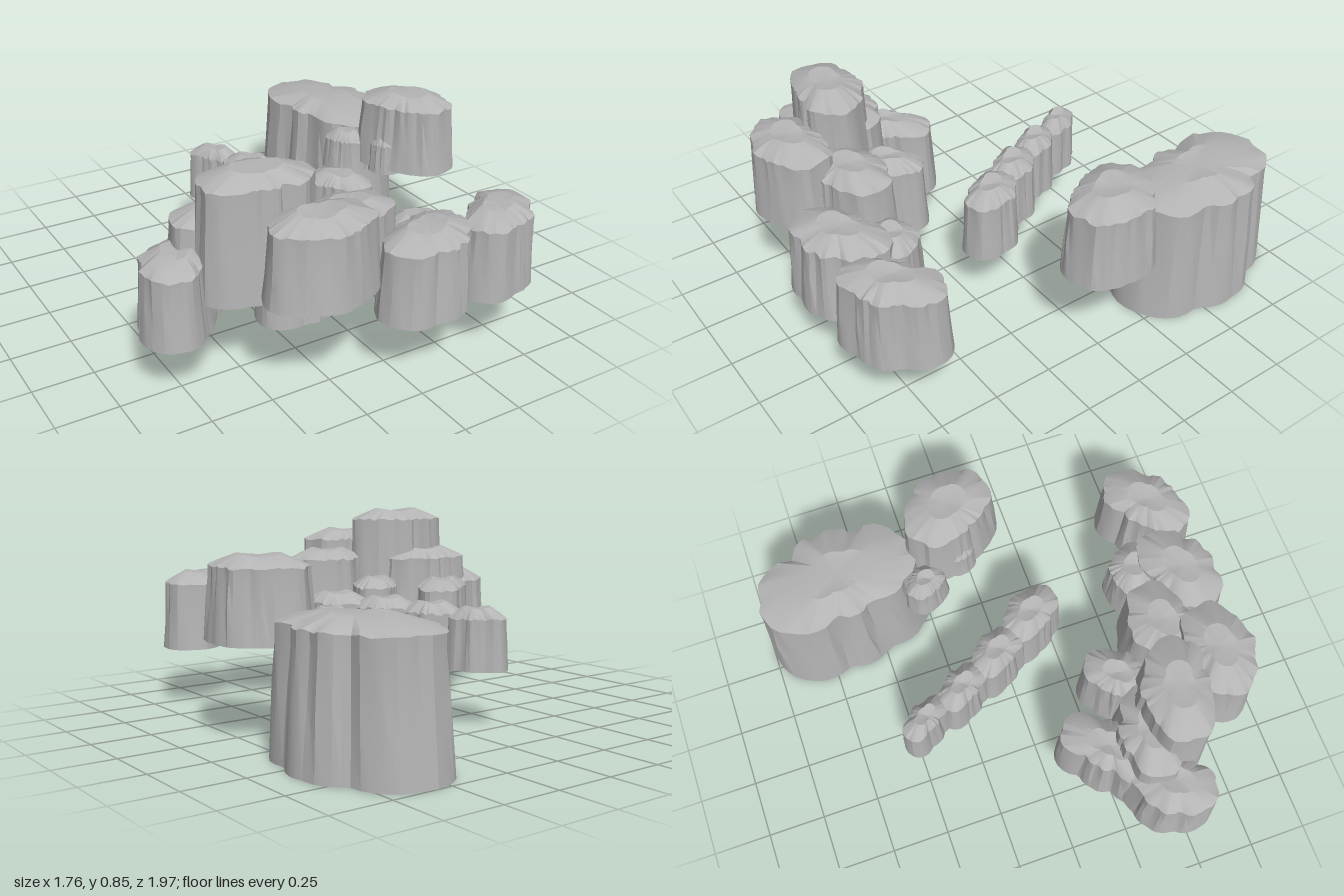
import * as THREE from 'three';
import { toCreasedNormals } from 'three/addons/utils/BufferGeometryUtils.js';

const stone = new THREE.MeshStandardMaterial({ color: 0xb4b4b4, side: THREE.DoubleSide });
stone.name = 'grey stone';

function seeded(seed) {
  let s = seed;
  return () => (s = (s * 16807) % 2147483647) / 2147483647;
}

// Distance from (cx, cz) along angle a to the outside of a cluster of circles.
function reach(lobes, cx, cz, a) {
  let best = 0.02;
  for (const [x, z, r] of lobes) {
    const dx = x - cx, dz = z - cz;
    const b = dx * Math.cos(a) + dz * Math.sin(a);
    const disc = b * b - (dx * dx + dz * dz - r * r);
    if (disc > 0) best = Math.max(best, b + Math.sqrt(disc));
  }
  return best;
}

// Open-bottomed pillar from (xa, za) to (xb, zb): lobed outline,
// creased flaring wall from y0, low lumpy cap up to y1.
function addRock(group, name, xa, za, xb, zb, radius, y0, y1) {
  const rand = seeded(917 + (group.children.length + 1) * 7331 + Math.round(radius * 1e5));
  const n = 52;
  const cx = (xa + xb) / 2, cz = (za + zb) / 2;
  const across = new THREE.Vector2(zb - za, xa - xb).setLength(radius * 0.12);
  const lobes = [
    [xa, za, radius],
    [cx + across.x, cz + across.y, radius * 1.15],
    [xb, zb, radius * 0.95],
  ];
  const flare = radius * 0.18;
  const rim = y1 - 0.05, wall = rim - y0, phase = rand() * 3;

  const columns = Array.from({ length: n }, (_, i) => {
    const a = (i / n) * Math.PI * 2;
    const scallop = Math.abs(Math.sin(a * 4.5 + phase)) - 0.62;
    return {
      a,
      base: reach(lobes, cx, cz, a),
      notch: radius * (0.12 * scallop + 0.06 * (rand() - 0.5)),
      lean: rand(),
      lift: (rand() - 0.5) * 0.012,
    };
  });

  // Rings from the foot up to the centre of the cap
  const rings = [
    c => [c.base + flare + c.notch * 0.4, y0],
    c => [c.base + flare * 0.45 + c.notch * (0.4 + 0.8 * c.lean), y0 + wall * (0.3 + 0.3 * c.lean)],
    c => [c.base + c.notch, y0 + wall * 0.88],
    c => [c.base + c.notch, rim + c.lift],
    c => [(c.base + c.notch * 0.6) * 0.8, y1 - 0.03 + c.lift * 0.5],
    c => [c.base * 0.45, y1 - 0.006 + 0.006 * Math.sin(c.a * 2 + phase)],
    () => [0, y1 - 0.014],
  ];
  const pos = [], idx = [];
  rings.forEach((ring, j) => columns.forEach((c, i) => {
    const [r, y] = ring(c);
    pos.push(cx + Math.cos(c.a) * r, y, cz + Math.sin(c.a) * r);
    if (j === rings.length - 1) return;
    const k = (i + 1) % n, p = j * n, q = p + n;
    idx.push(p + i, q + k, p + k);
    if (j < rings.length - 2) idx.push(p + i, q + i, q + k);
  }));
  const geo = new THREE.BufferGeometry();
  geo.setAttribute('position', new THREE.Float32BufferAttribute(pos, 3));
  geo.setIndex(idx);
  const mesh = new THREE.Mesh(toCreasedNormals(geo, 0.35), stone);
  mesh.name = name;
  group.add(mesh);
}

function cluster(name) {
  const group = new THREE.Group();
  group.name = name;
  return group;
}

function rightStack() {
  const g = cluster('rightStack');
  addRock(g, 'largeRock', 0.58, -0.78, 0.63, -0.44, 0.185, 0, 0.56);
  addRock(g, 'tallRock', 0.65, -0.14, 0.72, 0.0, 0.132, 0.39, 0.73);
  addRock(g, 'smallRock', 0.46, -0.28, 0.49, -0.22, 0.062, 0.34, 0.53);
  addRock(g, 'sideKnob', 0.56, -0.08, 0.57, -0.05, 0.05, 0.37, 0.55);
  return g;
}

// Slightly curved diagonal row of slim rocks
function slimRow() {
  const g = cluster('slimRow');
  for (let i = 0; i < 4; i++) {
    const x = -0.105 + 0.07 * i + 0.009 * i * i, z = -0.44 + 0.19 * i;
    addRock(g, 'slimRock', x - 0.035, z - 0.055, x + 0.035, z + 0.055,
      0.055 + 0.009 * i, 0.24, 0.5 + 0.01 * i);
  }
  return g;
}

function leftCluster() {
  const g = cluster('leftCluster');
  addRock(g, 'farLeftRock', -0.76, 0.48, -0.66, 0.37, 0.11, 0.22, 0.55);
  addRock(g, 'backRock', -0.40, 0.15, -0.58, 0.31, 0.095, 0.19, 0.54);
  addRock(g, 'middleRock', -0.61, 0.38, -0.41, 0.40, 0.10, 0.35, 0.67);
  addRock(g, 'tallRock', -0.53, 0.50, -0.33, 0.54, 0.12, 0.35, 0.85);
  addRock(g, 'innerRock', -0.16, 0.33, -0.26, 0.42, 0.085, 0.21, 0.55);
  addRock(g, 'supportRock', -0.35, 0.57, -0.18, 0.57, 0.09, 0.22, 0.5);
  return g;
}

function frontCluster() {
  const g = cluster('frontCluster');
  addRock(g, 'leftRock', -0.21, 0.76, -0.40, 0.76, 0.118, 0.41, 0.75);
  addRock(g, 'middleRock', -0.17, 0.63, -0.01, 0.60, 0.115, 0.33, 0.67);
  addRock(g, 'backRock', 0.19, 0.61, 0.27, 0.64, 0.085, 0.29, 0.54);
  addRock(g, 'centreRock', 0.23, 0.76, 0.05, 0.83, 0.12, 0.25, 0.59);
  addRock(g, 'rightRock', 0.57, 0.72, 0.41, 0.84, 0.108, 0.25, 0.59);
  return g;
}

export function createModel() {
  const model = cluster('rockFormation');
  model.add(rightStack(), slimRow(), leftCluster(), frontCluster());
  return model;
}
